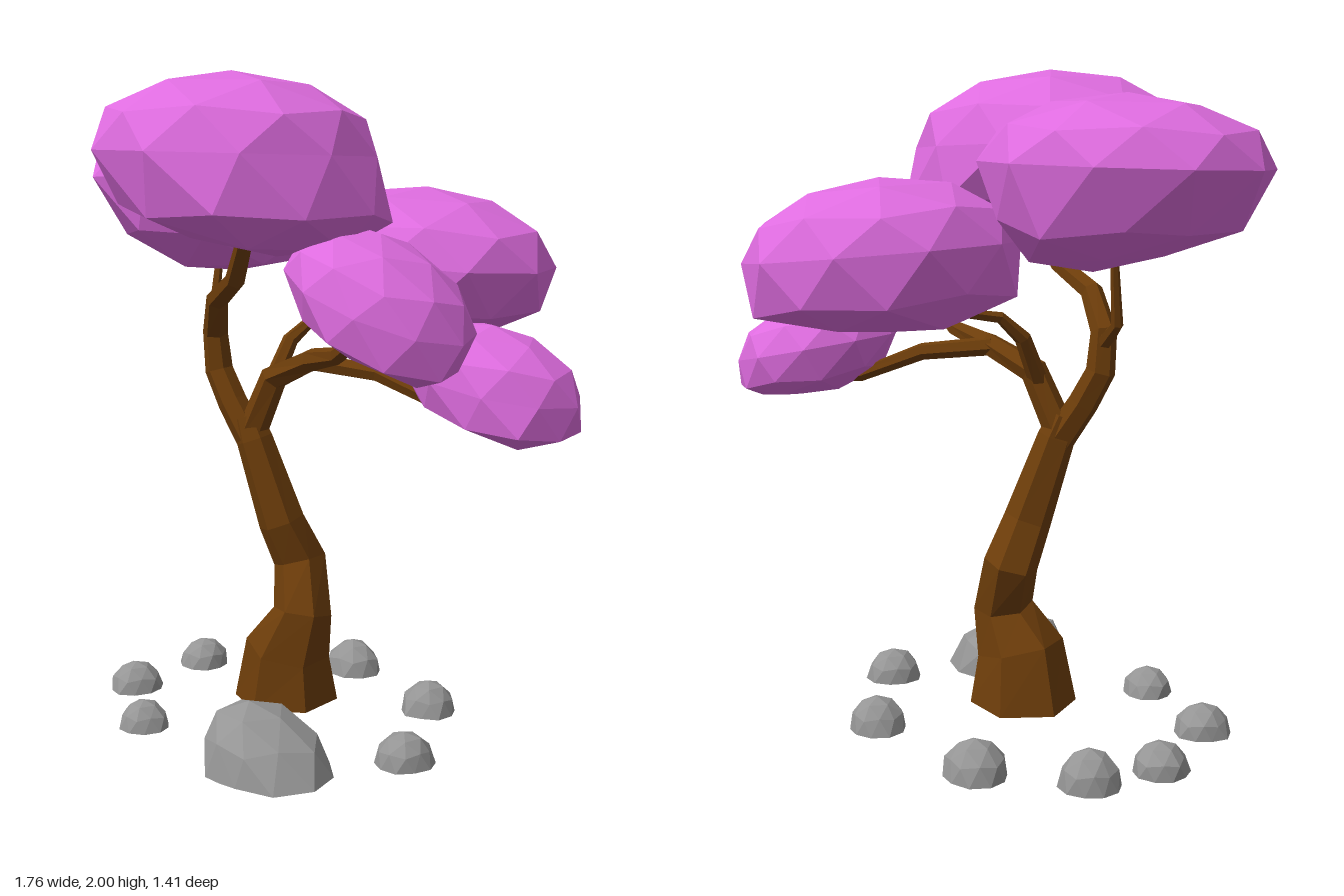
import * as THREE from 'three';

const material = (name, color) => Object.assign(new THREE.MeshStandardMaterial({ color }), { name });

// Faceted mesh: every face gets its own normal
function facetMesh(name, geometry, mat) {
  const g = geometry.index ? geometry.toNonIndexed() : geometry;
  g.computeVertexNormals();
  const mesh = new THREE.Mesh(g, mat);
  mesh.name = name;
  return mesh;
}

// Repeatable offset in -1..1 for a direction, equal for coincident corners
function jitter(v, seed) {
  const k = Math.round(v.x * 50) * 12.9898 + Math.round(v.y * 50) * 78.233 + Math.round(v.z * 50) * 37.719;
  const s = Math.sin(k + seed * 4.137) * 43758.5453;
  return (s - Math.floor(s)) * 2 - 1;
}

// Icosphere with a corner at the top, reshaped by a rule
function shapedBall(turn, rule) {
  const g = new THREE.IcosahedronGeometry(1, 1);
  g.rotateZ(-Math.atan(2 / (1 + Math.sqrt(5))));
  g.rotateY(turn);
  const p = g.attributes.position, v = new THREE.Vector3();
  for (let i = 0; i < p.count; i++) {
    v.fromBufferAttribute(p, i);
    rule(v);
    p.setXYZ(i, v.x, v.y, v.z);
  }
  return g;
}

// Leaf cloud: smooth dome above, lumpy belly below that slides sideways, sheared downhill
function leafCloud({ at, rx, rz, up, down, slope, shift, belly, rough }, seed) {
  const g = shapedBall(seed * 0.7, (v) => {
    const low = Math.max(0, -v.y);
    const bump = 1 + jitter(v, seed) * (v.y < -0.1 ? rough : 0.02);
    const wide = bump * (1 + belly * low);
    const x = v.x * rx * wide + shift * low;
    const y = v.y > 0 ? v.y * up : -Math.pow(low, 0.75) * down * bump;
    v.set(x, y + slope * x, v.z * rz * wide);
  });
  return g.translate(...at);
}

// Limb through points [x, y, z, radius]
function limb(points, sides = 6) {
  const n = points.length - 1;
  const g = new THREE.CylinderGeometry(1, 1, 1, sides, n);
  const up = new THREE.Vector3(0, 1, 0);
  const centres = points.map((q) => new THREE.Vector3(q[0], q[1], q[2]));
  const turns = centres.map((c, i) => {
    const t = centres[Math.min(i + 1, n)].clone().sub(centres[Math.max(i - 1, 0)]).normalize();
    // A thick foot stands level
    return new THREE.Quaternion().setFromUnitVectors(up, points[i][3] > 0.15 ? up : t);
  });
  const p = g.attributes.position, v = new THREE.Vector3();
  for (let i = 0; i < p.count; i++) {
    const k = Math.round((p.getY(i) + 0.5) * n), r = points[k][3];
    v.set(p.getX(i) * r, 0, p.getZ(i) * r).applyQuaternion(turns[k]).add(centres[k]);
    p.setXYZ(i, v.x, v.y, v.z);
  }
  return g;
}

// Half-buried stone with a flat base and a peak leaning along x
function stone([x, z, rx, rz, h, lean], seed) {
  return shapedBall(seed * 1.3, (v) => {
    const b = 1 + jitter(v, seed) * 0.07;
    const high = Math.max(0, v.y);
    v.set(v.x * rx * b + lean * high, v.y > 0.05 ? v.y * h : 0, v.z * rz * b);
  }).translate(x, 0, z);
}

export function createModel() {
  const tree = new THREE.Group();
  tree.name = 'tree';
  const blossom = material('blossom pink', 0xde6cdf);
  const bark = material('bark brown', 0x6d3d0a);
  const rock = material('stone grey', 0x959595);

  // Trunk and branches
  const limbs = {
    trunk: [[-0.11, 0.05, -0.015, 0.165], [-0.095, 0.22, -0.005, 0.135], [-0.035, 0.35, -0.005, 0.092],
      [-0.085, 0.5, -0.055, 0.084], [-0.115, 0.63, 0, 0.074], [-0.195, 0.89, 0.035, 0.058], [-0.22, 0.96, 0.04, 0.045]],
    leftBranch: [[-0.2, 0.88, 0.035, 0.05], [-0.28, 1.0, 0.04, 0.047], [-0.335, 1.1, 0.04, 0.045],
      [-0.34, 1.22, 0.05, 0.04], [-0.27, 1.33, 0.12, 0.035], [-0.13, 1.4, 0.2, 0.03], [-0.03, 1.53, 0.27, 0.024]],
    leftTwig: [[-0.34, 1.18, 0.04, 0.026], [-0.41, 1.25, -0.02, 0.018], [-0.415, 1.45, -0.06, 0.012]],
    rightBranch: [[-0.21, 0.9, 0.035, 0.048], [-0.12, 1.09, 0.03, 0.043], [0.05, 1.16, 0.06, 0.036],
      [0.2, 1.19, 0.13, 0.026], [0.3, 1.24, 0.2, 0.016]],
    lowBranch: [[0.03, 1.155, 0.05, 0.03], [0.25, 1.13, 0, 0.027], [0.45, 1.05, -0.04, 0.023], [0.55, 1.04, -0.05, 0.018]],
    backTwig: [[-0.14, 1.06, 0.02, 0.03], [-0.125, 1.2, -0.06, 0.025], [-0.08, 1.265, -0.12, 0.018], [0.03, 1.29, -0.24, 0.013]],
  };
  for (const [name, points] of Object.entries(limbs)) tree.add(facetMesh(name, limb(points), bark));

  // Leaf clouds
  const clouds = {
    frontCloud: { at: [-0.04, 1.77, 0.315], rx: 0.44, rz: 0.395, up: 0.23, down: 0.28, slope: -0.03, shift: 0.16, belly: 0.05, rough: 0.06 },
    leftCloud: { at: [-0.465, 1.71, -0.1], rx: 0.425, rz: 0.395, up: 0.2, down: 0.3, slope: 0.03, shift: 0.1, belly: -0.1, rough: 0.08 },
    backCloud: { at: [0.21, 1.46, -0.32], rx: 0.41, rz: 0.39, up: 0.215, down: 0.24, slope: -0.09, shift: -0.03, belly: 0.18, rough: 0.06 },
    rightCloud: { at: [0.425, 1.365, 0.24], rx: 0.27, rz: 0.245, up: 0.185, down: 0.175, slope: -0.38, shift: 0, belly: 0.12, rough: 0.08 },
    lowCloud: { at: [0.61, 1.13, -0.05], rx: 0.265, rz: 0.23, up: 0.16, down: 0.155, slope: -0.2, shift: 0.06, belly: 0.1, rough: 0.08 },
  };
  Object.entries(clouds).forEach(([name, c], i) => tree.add(facetMesh(name, leafCloud(c, i + 1), blossom)));

  // Ring of stones: x, z, half width, half depth, height, lean
  const stones = [
    [0.15, 0.385, 0.2, 0.185, 0.19, -0.08], [-0.655, 0.11, 0.085, 0.09, 0.09, 0], [-0.385, 0.355, 0.08, 0.08, 0.085, 0],
    [-0.64, -0.22, 0.085, 0.085, 0.09, 0], [-0.5, -0.4, 0.09, 0.09, 0.11, 0], [-0.18, -0.48, 0.1, 0.09, 0.11, 0],
    [0.25, -0.3, 0.09, 0.09, 0.1, 0], [0.43, 0.11, 0.09, 0.09, 0.095, 0],
  ];
  const ring = new THREE.Group();
  ring.name = 'stones';
  stones.forEach((s, i) => ring.add(facetMesh(`stone${i + 1}`, stone(s, i + 1), rock)));
  tree.add(ring);
  return tree;
}
